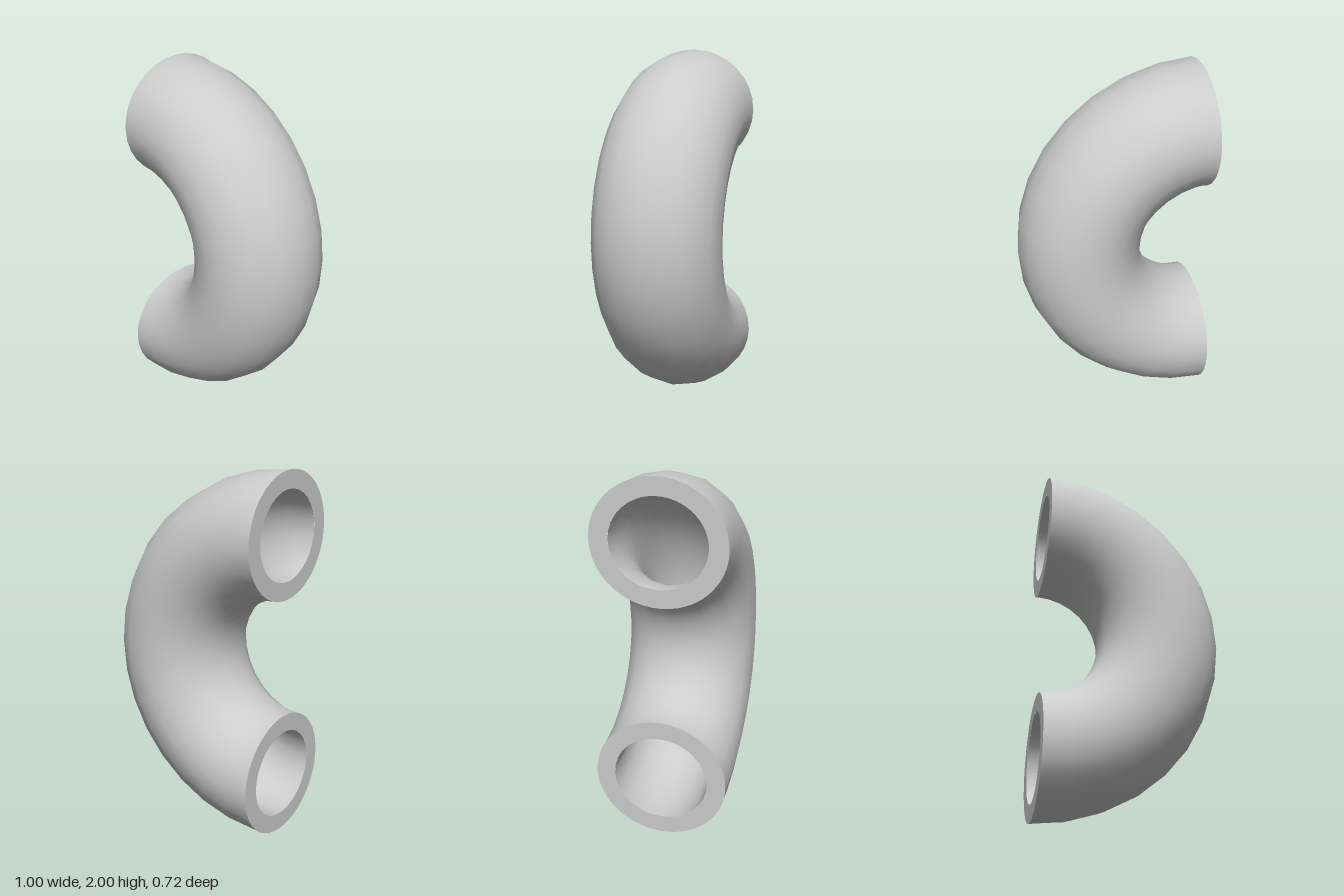
import * as THREE from 'three';

const BEND = 0.6625;            // radius of the pipe's centre line
const OUTER = [0.3375, 0.36];   // half-axes of the section: radial, along z
const BORE = [0.24, 0.258];
const N = 32;

const material = new THREE.MeshStandardMaterial({ color: 0xcccccc });

// Half-turn of an elliptical tube; sign -1 faces the surface inwards.
function bentTube([a, b], sign) {
  const geometry = new THREE.PlaneGeometry(1, 1, N, N);
  const { position, normal } = geometry.attributes;
  const point = (i, j) => {
    const u = (i / N - 0.5) * Math.PI;
    const v = sign * j / N * Math.PI * 2;
    const r = BEND + a * Math.cos(v);
    return new THREE.Vector3(r * Math.cos(u) - 0.5, r * Math.sin(u) + 1, b * Math.sin(v));
  };
  // Coarse 16 x 16 facets, with fine edges at the open ends and inner seam.
  const faceted = (i, j) => {
    const end = i === 0 || i === N;
    if (j % 2 && !end) return faceted(i, j - 1).add(faceted(i, j + 1)).multiplyScalar(0.5);
    if (i % 2 && j !== N / 2) return point(i - 1, j).add(point(i + 1, j)).multiplyScalar(0.5);
    return point(i, j);
  };
  for (let i = 0; i <= N; i++) {
    for (let j = 0; j <= N; j++) {
      const k = i * (N + 1) + j;
      const p = faceted(i, j);
      position.setXYZ(k, p.x, p.y, p.z);
      const u = (i / N - 0.5) * Math.PI;
      const v = sign * j / N * Math.PI * 2;
      const c = Math.cos(v) / a;
      const n = new THREE.Vector3(c * Math.cos(u), c * Math.sin(u), Math.sin(v) / b);
      n.normalize().multiplyScalar(sign);
      normal.setXYZ(k, n.x, n.y, n.z);
    }
  }
  return geometry;
}

// Flat ring closing the wall at an open end, facing -x.
function endRing() {
  const ellipse = (path, [a, b]) => path.absellipse(0, 0, b, a, 0, Math.PI * 2);
  const shape = ellipse(new THREE.Shape(), OUTER);
  shape.holes.push(ellipse(new THREE.Path(), BORE));
  return new THREE.ShapeGeometry(shape, N).rotateY(-Math.PI / 2);
}

export function createModel() {
  const model = new THREE.Group();
  model.name = 'pipeBend';
  const add = (name, geometry) => {
    const mesh = new THREE.Mesh(geometry, material);
    mesh.name = name;
    model.add(mesh);
    return mesh;
  };

  add('outerWall', bentTube(OUTER, 1));
  add('bore', bentTube(BORE, -1));
  add('upperRim', endRing()).position.set(-0.5, 1 + BEND, 0);
  add('lowerRim', endRing()).position.set(-0.5, 1 - BEND, 0);
  return model;
}
